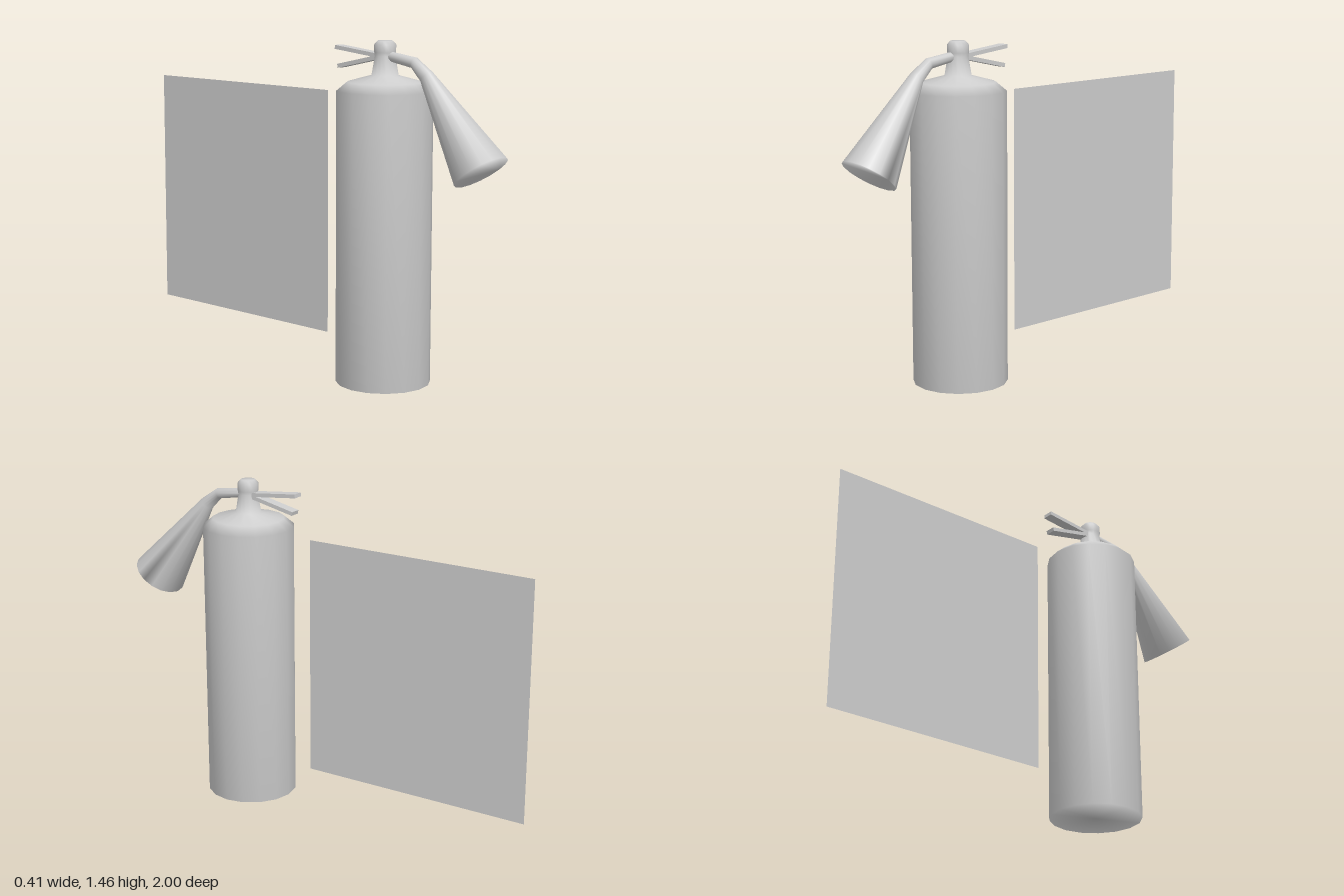
import * as THREE from 'three';
import { mergeVertices } from 'three/addons/utils/BufferGeometryUtils.js';

const BODY_Z = 0.404;

function createMesh(name, geometry, side = THREE.FrontSide) {
  const mesh = new THREE.Mesh(geometry, new THREE.MeshStandardMaterial({ color: 0xcccccc, side }));
  mesh.name = name;
  return mesh;
}

// Weld shared corners so that shading runs smoothly over edges and caps
function weld(geometry) {
  geometry.deleteAttribute('uv');
  geometry.deleteAttribute('normal');
  const welded = mergeVertices(geometry, 1e-4);
  welded.computeVertexNormals();
  return welded;
}

// Closed loft through rings [x, y, z, radius, tilt]; tilt is the downward pitch of the path
function loft(rings, sides) {
  const positions = [], index = [];
  for (const [x, y, z, r, tilt] of rings) {
    for (let i = 0; i < sides; i++) {
      const a = (i / sides) * Math.PI * 2;
      const up = Math.sin(a) * r;
      positions.push(x + Math.cos(a) * r, y + up * Math.cos(tilt), z + up * Math.sin(tilt));
    }
  }
  for (let k = 0; k < rings.length - 1; k++) {
    for (let i = 0; i < sides; i++) {
      const j = (i + 1) % sides;
      const a = k * sides + i, b = k * sides + j;
      index.push(a, b, b + sides, a, b + sides, a + sides);
    }
  }
  const last = (rings.length - 1) * sides;
  for (let i = 1; i < sides - 1; i++) {
    index.push(0, i + 1, i, last, last + i, last + i + 1);
  }
  const geometry = new THREE.BufferGeometry();
  geometry.setAttribute('position', new THREE.Float32BufferAttribute(positions, 3));
  geometry.setIndex(index);
  geometry.computeVertexNormals();
  return geometry;
}

// Flat bar running between two points [y, z] in the centre plane
function lever(name, [y0, z0], [y1, z1]) {
  const length = Math.hypot(y1 - y0, z1 - z0);
  const mesh = createMesh(name, new THREE.BoxGeometry(0.048, 0.017, length));
  mesh.position.set(0, (y0 + y1) / 2, (z0 + z1) / 2);
  mesh.rotation.x = Math.atan2(y1 - y0, z0 - z1);
  return mesh;
}

export function createModel() {
  const model = new THREE.Group();
  model.name = 'fireExtinguisher';

  // Cylinder with sloped shoulder, tapered neck and rounded valve head
  const profile = [
    [0, 0], [0.204, 0], [0.204, 1.255], [0.16, 1.292], [0.057, 1.32],
    [0.043, 1.4], [0.046, 1.415], [0.046, 1.448], [0.032, 1.464], [0, 1.464],
  ].map(([r, y]) => new THREE.Vector2(r, y));
  const tank = createMesh('tank', weld(new THREE.LatheGeometry(profile, 16)));
  tank.position.z = BODY_Z;
  model.add(tank);

  // Bent pipe flaring into the discharge horn
  model.add(createMesh('dischargeHorn', loft([
    [-0.002, 1.405, 0.4, 0.02, 0.1],
    [-0.002, 1.38, 0.564, 0.024, 0.35],
    [-0.002, 1.325, 0.632, 0.032, 0.8],
    [0.016, 0.957, 0.903, 0.121, 0.947],
  ], 16)));

  // Carry handle and squeeze lever
  model.add(lever('carryHandle', [1.4, 0.39], [1.426, 0.14]));
  model.add(lever('squeezeLever', [1.397, 0.39], [1.346, 0.155]));

  // Thin upright panel behind the tank
  const panel = createMesh('panel', new THREE.PlaneGeometry(1.077, 1.077), THREE.DoubleSide);
  panel.rotation.y = Math.PI / 2;
  panel.position.set(0, 0.697, -0.46);
  model.add(panel);

  return model;
}
